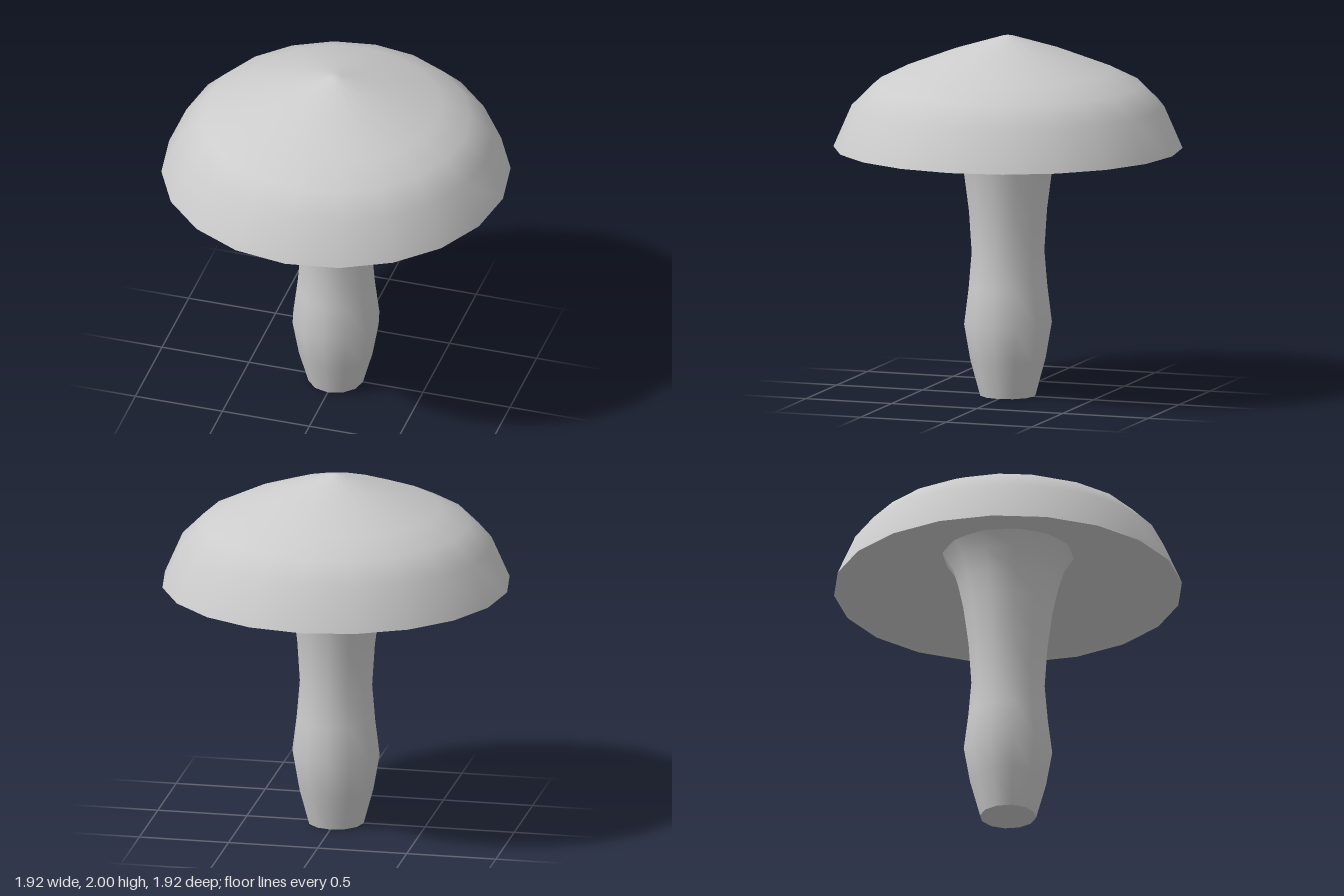
import * as THREE from 'three';

const material = new THREE.MeshStandardMaterial({ color: 0xcccccc });

// Revolves an [radius, height] profile; normals are smooth along it
function revolve(name, profile, sides) {
  const points = profile.map(([r, y]) => new THREE.Vector2(r, y));
  const mesh = new THREE.Mesh(new THREE.LatheGeometry(points, sides), material);
  mesh.name = name;
  return mesh;
}

export function createModel() {
  const mushroom = new THREE.Group();
  mushroom.name = 'mushroom';

  // Domed top of the cap, from rim to tip
  const capTop = revolve('capTop', [
    [0.96, 1.38], [0.86, 1.61], [0.74, 1.73], [0.58, 1.81],
    [0.32, 1.91], [0.03, 2.0], [0, 2.0],
  ], 20);

  // Hollow underside, rising from the rim towards the stem
  const capUnderside = revolve('capUnderside', [
    [0.25, 1.6], [0.36, 1.58], [0.66, 1.49], [0.96, 1.38],
  ], 20);

  // Stem with a bulge low down and a flare into the cap
  const stem = revolve('stem', [
    [0.155, 0], [0.21, 0.2], [0.245, 0.4], [0.22, 0.6], [0.203, 0.8],
    [0.218, 1.03], [0.247, 1.25], [0.275, 1.38], [0.31, 1.5], [0.37, 1.59],
  ], 12);

  // Flat end of the stem
  const stemBase = revolve('stemBase', [[0, 0], [0.155, 0]], 12);

  mushroom.add(capTop, capUnderside, stem, stemBase);
  return mushroom;
}
